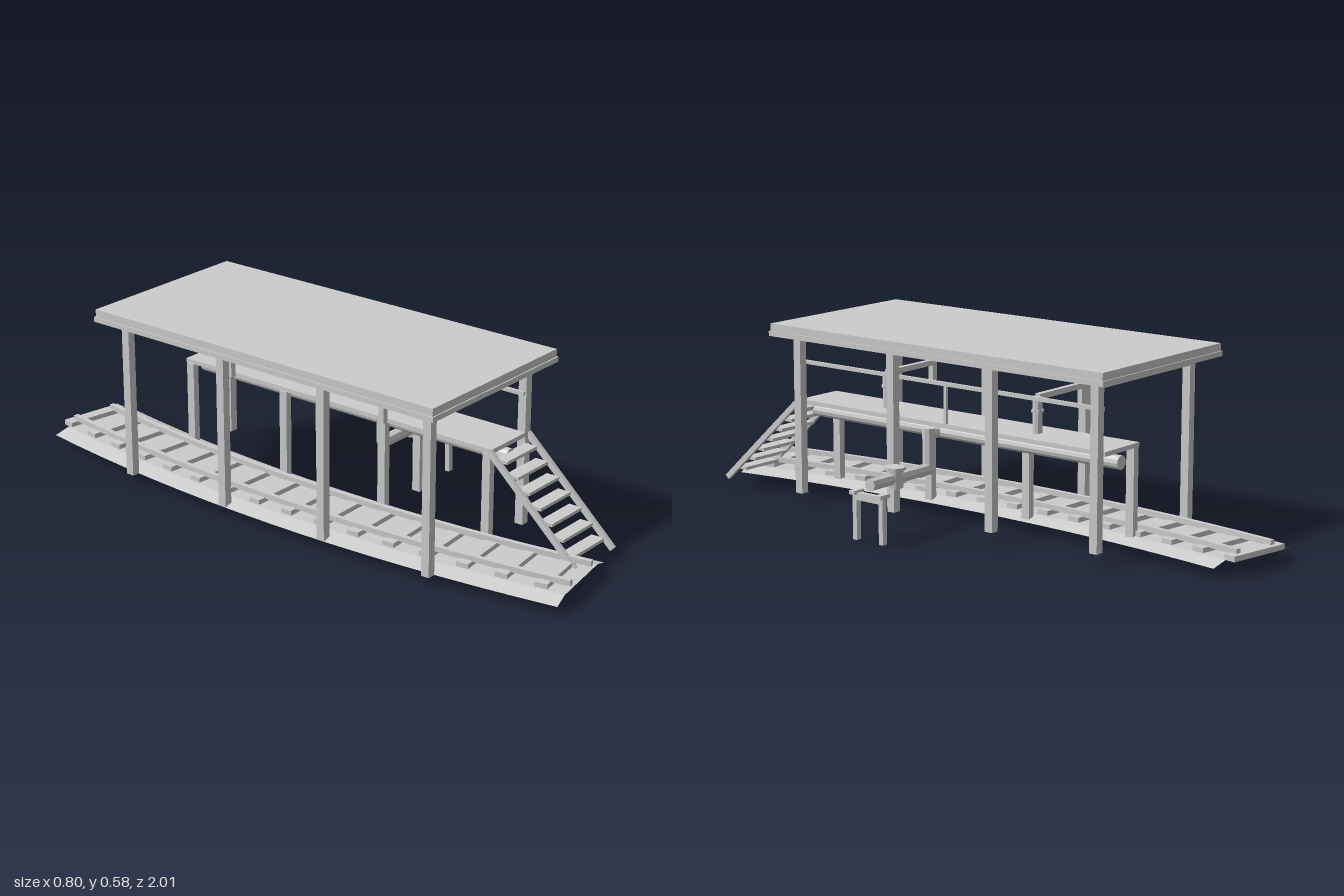
import * as THREE from 'three';

const grey = new THREE.MeshStandardMaterial({ color: 0xcccccc, flatShading: true, side: THREE.DoubleSide });
grey.name = 'plain grey';

function add(parent, name, geometry) {
  const mesh = new THREE.Mesh(geometry, grey);
  mesh.name = name;
  parent.add(mesh);
  return mesh;
}

// Box given by its minimum and maximum on each axis
function box(parent, name, x0, x1, y0, y1, z0, z1) {
  const mesh = add(parent, name, new THREE.BoxGeometry(x1 - x0, y1 - y0, z1 - z0));
  mesh.position.set((x0 + x1) / 2, (y0 + y1) / 2, (z0 + z1) / 2);
  return mesh;
}

// Straight round bar between two points
function rod(parent, name, a, b, radius, sides = 8) {
  const from = new THREE.Vector3(...a), dir = new THREE.Vector3(...b).sub(from);
  const mesh = add(parent, name, new THREE.CylinderGeometry(radius, radius, dir.length(), sides));
  mesh.position.copy(from).addScaledVector(dir, 0.5);
  mesh.quaternion.setFromUnitVectors(new THREE.Vector3(0, 1, 0), dir.normalize());
  return mesh;
}

// Curved track line: an arc bulging towards -x
const R = 5.75, MID = -0.18;
const trackPoint = (angle, offset) => [MID + R - (R - offset) * Math.cos(angle), (R - offset) * Math.sin(angle)];

// Sweep a cross-section of [offset, y] points along the track arc
function sweep(profile, a0, a1, closed, steps = 16) {
  const pos = [], index = [], n = profile.length;
  for (let i = 0; i <= steps; i++) {
    for (const [o, y] of profile) {
      const [x, z] = trackPoint(a0 + (a1 - a0) * i / steps, o);
      pos.push(x, y, z);
    }
  }
  for (let i = 0; i < steps; i++) {
    for (let j = 0; j < (closed ? n : n - 1); j++) {
      const a = i * n + j, b = i * n + (j + 1) % n;
      index.push(a, a + n, b, b, a + n, b + n);
    }
  }
  if (closed) {
    const e = steps * n;
    index.push(0, 1, 2, 0, 2, 3, e, e + 2, e + 1, e, e + 3, e + 2);
  }
  const g = new THREE.BufferGeometry();
  g.setAttribute('position', new THREE.Float32BufferAttribute(pos, 3));
  g.setIndex(index);
  g.computeVertexNormals();
  return g;
}

function buildTrack(parent) {
  const track = new THREE.Group();
  track.name = 'track';
  parent.add(track);
  add(track, 'ballast', sweep([[-0.165, 0.03], [-0.115, 0.046], [0.115, 0.046], [0.165, 0.03]], -0.169, 0.169, false));
  for (const s of [-1, 1]) {
    const c = s * 0.073;
    add(track, 'rail', sweep([[c - 0.008, 0.058], [c - 0.008, 0.075], [c + 0.008, 0.075], [c + 0.008, 0.058]], -0.171, 0.169, true));
  }
  for (let k = -8; k <= 7; k++) {
    const angle = (0.02 + 0.125 * k) / R;
    const [x, z] = trackPoint(angle, 0);
    const tie = add(track, 'sleeper', new THREE.BoxGeometry(0.215, 0.017, 0.04));
    tie.position.set(x, 0.0525, z);
    tie.rotation.y = angle;
  }
}

function buildShelter(parent) {
  const shelter = new THREE.Group();
  shelter.name = 'shelter';
  parent.add(shelter);
  box(shelter, 'roofEdge', -0.402, 0.214, 0.545, 0.561, -0.652, 0.655);
  box(shelter, 'roofTop', -0.398, 0.21, 0.561, 0.585, -0.648, 0.651);
  // Four portal frames, each with a short platform post
  for (const z of [0.59, 0.2, -0.19, -0.58]) {
    const z0 = z - 0.014, z1 = z + 0.014;
    box(shelter, 'leftPost', -0.342, -0.315, 0.03, 0.545, z0, z1);
    box(shelter, 'rightPost', 0.127, 0.155, 0.03, 0.545, z0, z1);
    box(shelter, 'crossBeam', -0.315, 0.127, 0.522, 0.545, z0, z1);
    box(shelter, 'platformPost', -0.05, -0.027, 0.03, 0.32, z0, z1);
  }
  box(shelter, 'platform', -0.045, 0.127, 0.319, 0.333, -0.6, 0.605);
  box(shelter, 'handrail', 0.117, 0.127, 0.451, 0.463, -0.59, 0.6);
  box(shelter, 'railUpright', 0.117, 0.127, 0.333, 0.452, -0.002, 0.008);
}

function buildStairs(parent) {
  const stairs = new THREE.Group();
  stairs.name = 'stairs';
  parent.add(stairs);
  const dy = 0.29, dz = 0.315;
  for (const x of [-0.045, 0.149]) {
    const side = add(stairs, 'stairSide', new THREE.BoxGeometry(0.013, 0.018, Math.hypot(dy, dz)));
    side.position.set(x, 0.18, 0.757);
    side.rotation.x = Math.atan2(dy, dz);
  }
  for (let i = 0; i < 7; i++) {
    const y = 0.067 + i * 0.038, z = 0.873 - i * 0.0412;
    box(stairs, 'tread', -0.025, 0.128, y - 0.005, y + 0.005, z - 0.022, z + 0.022);
  }
}

function buildPipes(parent) {
  const pipes = new THREE.Group();
  pipes.name = 'pipework';
  parent.add(pipes);
  rod(pipes, 'mainPipe', [0.045, 0.287, -0.6], [0.045, 0.287, 0.61], 0.022, 12);
  // Filling columns with swing arms
  for (const z of [0.305, -0.29]) {
    rod(pipes, 'column', [0.045, 0.29, z], [0.045, 0.445, z], 0.015);
    rod(pipes, 'columnCollar', [0.045, 0.397, z], [0.045, 0.406, z], 0.019);
    box(pipes, 'swingArm', -0.187, 0.045, 0.436, 0.453, z - 0.009, z + 0.009);
    box(pipes, 'spout', -0.187, -0.167, 0.385, 0.436, z - 0.009, z + 0.009);
  }
  // Supply line from the main pipe out to the stand
  const z = 0.09;
  rod(pipes, 'branchPipe', [0.045, 0.285, z], [0.1, 0.285, z], 0.019);
  rod(pipes, 'dropPipe', [0.1, 0.305, z], [0.1, 0.175, z], 0.02);
  rod(pipes, 'supplyPipe', [0.1, 0.176, z], [0.376, 0.176, z], 0.02);
  rod(pipes, 'valveBody', [0.26, 0.147, z], [0.26, 0.204, z], 0.026);
  rod(pipes, 'valveCap', [0.26, 0.203, z], [0.26, 0.212, z], 0.034);
  // Stand carrying the end of the supply line
  box(pipes, 'standBar', 0.368, 0.387, 0.125, 0.148, 0.04, 0.14);
  for (const s of [-1, 1]) {
    const c = z + s * 0.052;
    box(pipes, 'standLeg', 0.368, 0.387, 0, 0.145, c - 0.008, c + 0.008);
    box(pipes, 'standCap', 0.355, 0.4, 0.143, 0.155, c - 0.011, c + 0.011);
  }
}

export function createModel() {
  const model = new THREE.Group();
  model.name = 'loadingPlatform';
  buildTrack(model);
  buildShelter(model);
  buildStairs(model);
  buildPipes(model);
  return model;
}
